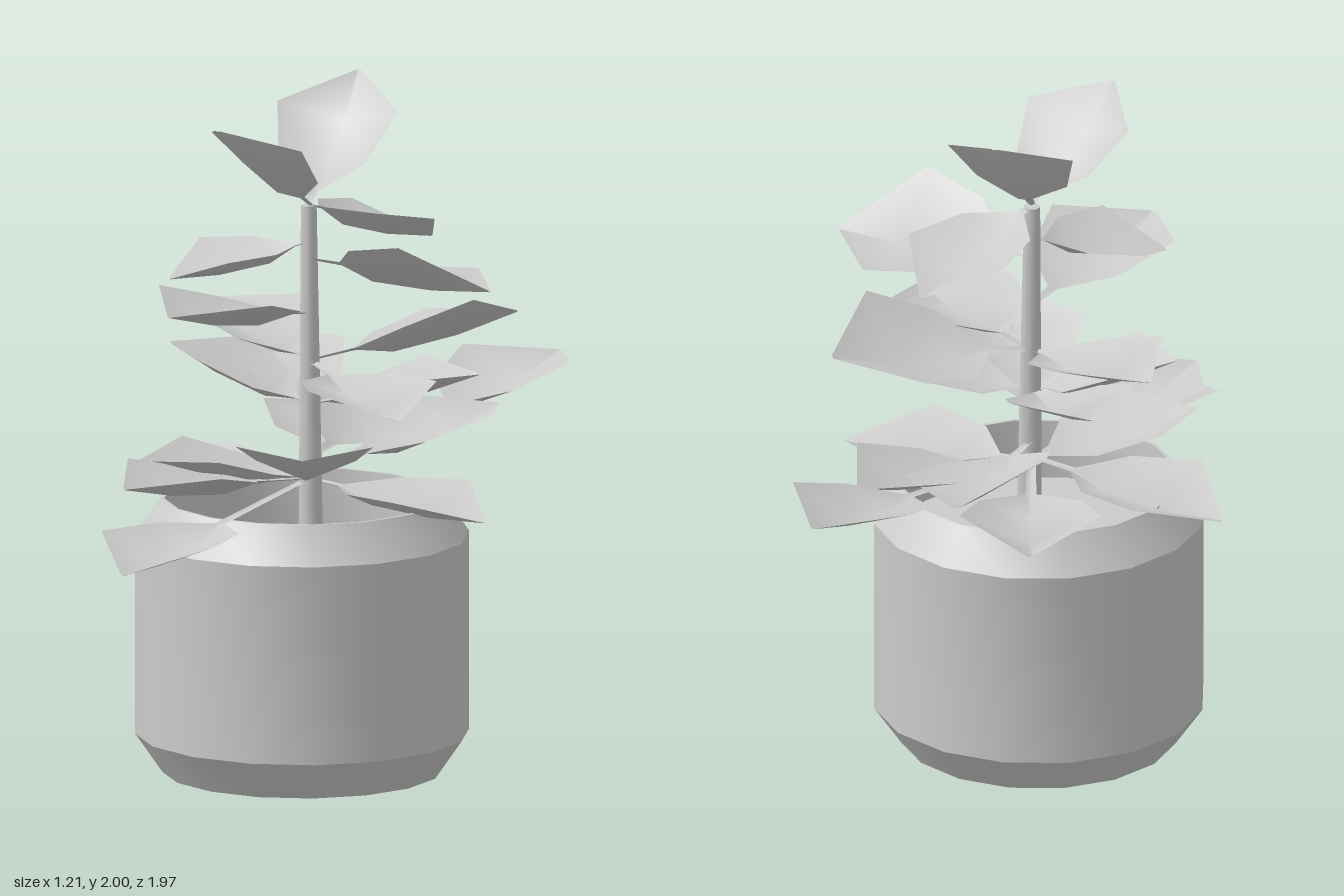
import * as THREE from 'three';
import { toCreasedNormals } from 'three/addons/utils/BufferGeometryUtils.js';

const material = new THREE.MeshStandardMaterial({ color: 0xcccccc });
const leafMaterial = new THREE.MeshStandardMaterial({ color: 0xcccccc, side: THREE.DoubleSide });

// Folded pointed leaf: cross-sections of left edge, midrib, right edge from stem to tip.
// Blades stay about 0.5 long, so longer leaves get a longer bare stalk.
function leafGeometry(start, tip, width, roll) {
  const dir = tip.clone().sub(start);
  const length = dir.length();
  const stalk = Math.max(0.1, 1 - 0.5 / length);
  dir.normalize();
  const side = new THREE.Vector3().crossVectors(dir, new THREE.Vector3(0, 1, 0)).normalize();
  side.applyAxisAngle(dir, -roll);
  const normal = new THREE.Vector3().crossVectors(side, dir);

  // position along the blade, relative half width, midrib sag
  const sections = [[0, 0.08, 0], [0.22, 0.72, 0.03], [0.62, 1, 0.025], [1, 0.04, 0]];
  const rows = sections.map(([t, w, sag]) => [stalk + t * (1 - stalk), w * width / 2, sag]);
  rows.unshift([0, 0.012, 0]);

  const points = [], index = [];
  rows.forEach(([t, w, sag], r) => {
    for (const s of [-1, 0, 1]) {
      points.push(start.clone().addScaledVector(dir, t * length)
        .addScaledVector(side, s * w)
        .addScaledVector(normal, Math.abs(s) * w * 0.4 - sag));
    }
    if (r === 0) return;
    for (let c = 0; c < 2; c++) {
      const a = (r - 1) * 3 + c, b = a + 3;
      index.push(a, a + 1, b, b, a + 1, b + 1);
    }
  });
  const geometry = new THREE.BufferGeometry().setFromPoints(points);
  geometry.setIndex(index);
  geometry.computeVertexNormals();
  return geometry;
}

// One node on the stem with a leaf reaching out to each tip
function leafNode(name, height, width, roll, tips) {
  const node = new THREE.Group();
  node.name = name;
  const start = new THREE.Vector3(0.005, height, 0.06);
  for (const tip of tips) {
    const leaf = new THREE.Mesh(leafGeometry(start, new THREE.Vector3(...tip), width, roll), leafMaterial);
    leaf.name = 'leaf';
    node.add(leaf);
  }
  return node;
}

export function createModel() {
  const model = new THREE.Group();
  model.name = 'pottedPlant';

  // Chamfered pot with soil sunk below the rim
  const profile = [[0, 0], [0.405, 0], [0.485, 0.115], [0.485, 0.7], [0.41, 0.81], [0.4, 0.81], [0.4, 0.63], [0, 0.63]];
  const potGeometry = new THREE.LatheGeometry(profile.map(([x, y]) => new THREE.Vector2(x, y)), 16);
  const pot = new THREE.Mesh(toCreasedNormals(potGeometry, 0.5), material);
  pot.name = 'pot';
  pot.position.set(-0.015, 0, 0.065);
  model.add(pot);

  // Tapered stem, leaning slightly
  const stemGeometry = new THREE.CylinderGeometry(0.024, 0.038, 1.06, 8);
  stemGeometry.translate(0, 0.53, 0);
  const stem = new THREE.Mesh(stemGeometry, material);
  stem.name = 'stem';
  stem.position.set(0.015, 0.61, 0.075);
  stem.rotation.set(-0.018, 0, 0.012);
  model.add(stem);

  // Leaves from the crown down to the pot rim
  model.add(
    leafNode('crownLeaves', 1.67, 0.38, 0, [[-0.17, 1.94, 0.38], [0.04, 2, -0.3], [0.25, 1.52, -0.32]]),
    leafNode('upperRightLeaf', 1.56, 0.38, 0, [[-0.35, 1.47, 0.27]]),
    leafNode('upperLeftLeaf', 1.51, 0.48, 0.3, [[0.6, 1.48, 0.2]]),
    leafNode('upperFrontLeaf', 1.35, 0.44, 0, [[-0.24, 1.43, 0.61]]),
    leafNode('middleBackLeaf', 1.21, 0.46, 0.25, [[0.51, 1.31, -0.33]]),
    leafNode('middleLeaves', 1.21, 0.4, 0, [[-0.42, 1.3, -0.29], [0.44, 1.16, 0.57]]),
    leafNode('lowerLeaves', 1.08, 0.38, 0, [[-0.43, 1.23, 0.03], [0.49, 1.18, -0.04], [-0.27, 1.2, -0.37]]),
    leafNode('bottomFrontLeaves', 0.86, 0.4, 0, [
      [-0.26, 0.74, 0.98], [0.22, 1.07, 0.78], [-0.35, 0.93, 0.69], [0.59, 0.8, 0.22], [-0.42, 0.94, 0.34],
    ]),
    leafNode('bottomBackLeaves', 0.87, 0.41, 0, [
      [0.43, 1.06, -0.98], [-0.6, 0.81, -0.14], [0.39, 0.99, -0.53], [-0.16, 0.92, -0.74],
    ]),
    leafNode('tiltedBackLeaf', 0.92, 0.45, -0.25, [[0.09, 0.98, -0.58]]),
  );
  return model;
}
